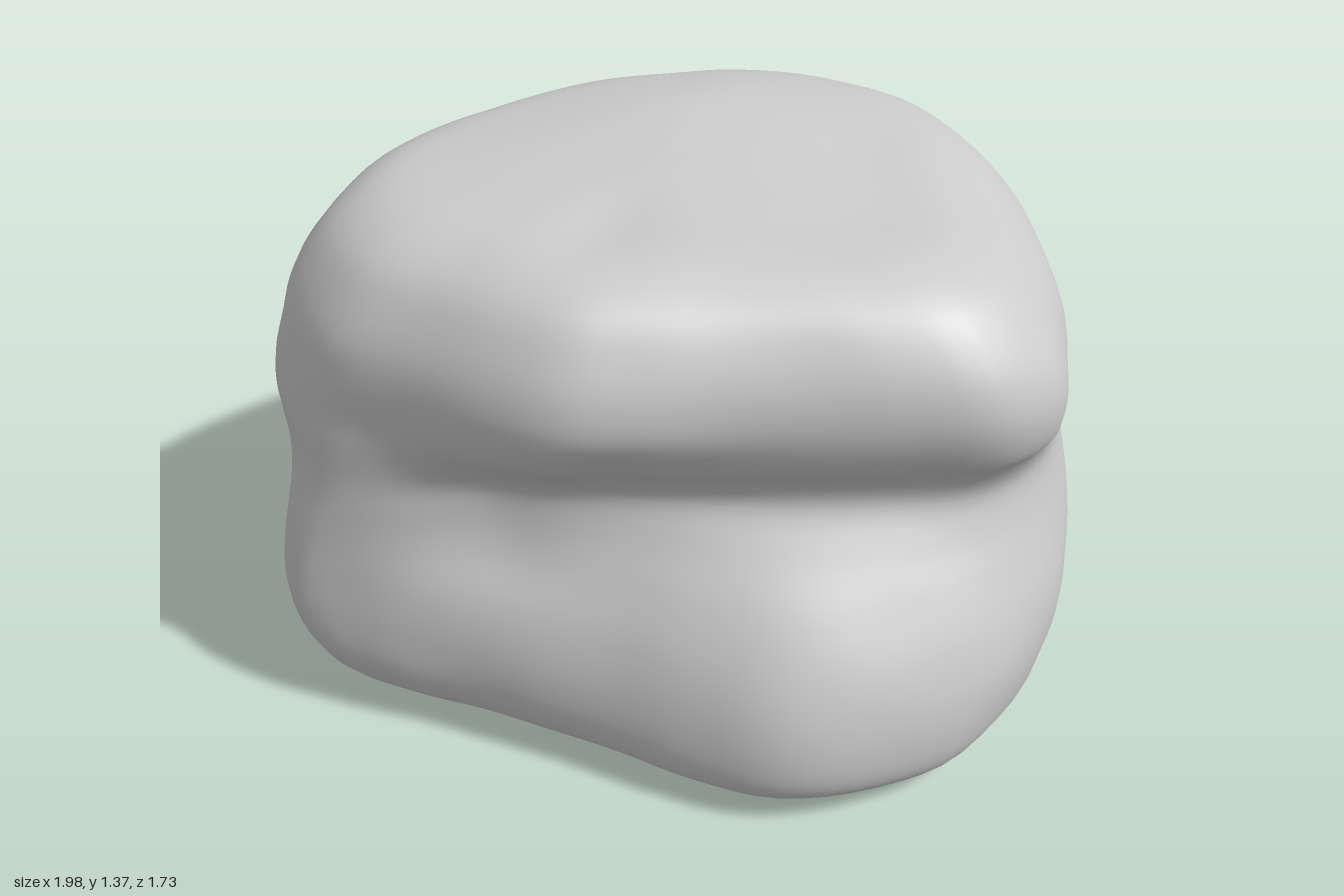
import * as THREE from 'three';

const { lerp, smoothstep, clamp } = THREE.MathUtils;

// Plan outlines [x, z], clockwise from the -x side: wide base and squarer top
const back = [[-0.25, -0.76], [0, -0.82], [0.2, -0.86], [0.42, -0.83], [0.62, -0.74],
  [0.79, -0.62], [0.91, -0.42], [0.97, -0.18], [0.98, 0.06]];
const baseOutline = [[-0.96, -0.06], [-0.91, -0.26], [-0.81, -0.43], [-0.65, -0.53], [-0.45, -0.65], ...back,
  [0.94, 0.36], [0.82, 0.6], [0.64, 0.77], [0.42, 0.85], [0.2, 0.86], [0, 0.79],
  [-0.18, 0.7], [-0.4, 0.61], [-0.6, 0.53], [-0.8, 0.46], [-0.96, 0.38], [-1, 0.18]];
const topOutline = [[-0.95, -0.06], [-0.87, -0.23], [-0.75, -0.39], [-0.6, -0.52], [-0.43, -0.65], ...back,
  [0.95, 0.36], [0.88, 0.58], [0.74, 0.69], [0.52, 0.71], [0.3, 0.71], [0.08, 0.71],
  [-0.12, 0.72], [-0.3, 0.72], [-0.47, 0.65], [-0.64, 0.54], [-0.86, 0.41], [-0.98, 0.17]];

// Heights with reach: [y, front, back, +x side, -x side]
const levels = [
  [0.03, 0.77, 0.58, 0.87, 0.74], [0.05, 0.82, 0.68, 0.9, 0.82], [0.1, 0.85, 0.76, 0.93, 0.89],
  [0.18, 0.86, 0.815, 0.955, 0.95], [0.3, 0.845, 0.855, 0.98, 0.99], [0.42, 0.8, 0.85, 0.985, 0.99],
  [0.54, 0.725, 0.83, 0.975, 0.965], [0.64, 0.64, 0.82, 0.955, 0.955], [0.73, 0.585, 0.82, 0.935, 0.965],
  [0.81, 0.61, 0.815, 0.92, 0.985], [0.89, 0.68, 0.81, 0.915, 0.985], [1.0, 0.725, 0.805, 0.905, 0.955],
  [1.1, 0.725, 0.785, 0.87, 0.925], [1.19, 0.69, 0.74, 0.805, 0.87], [1.265, 0.635, 0.665, 0.725, 0.8],
  [1.32, 0.53, 0.54, 0.61, 0.7], [1.345, 0.36, 0.4, 0.43, 0.52], [1.36, 0.18, 0.22, 0.23, 0.28]];

const AROUND = 96, RINGS = 68;

function sampleOutline(points) {
  const curve = new THREE.CatmullRomCurve3(points.map(([x, z]) => new THREE.Vector3(x, 0, z)), true);
  return Array.from({ length: AROUND }, (_, j) => curve.getPoint(j / AROUND));
}

const bump = (u, v, cu, cv, ru, rv) => Math.exp(-(((u - cu) / ru) ** 2) - ((v - cv) / rv) ** 2);

// Uneven lumps from a few crossed waves
const lumps = (x, y, z) =>
  Math.sin(5.1 * x + 2.3 * y + 1.1) * Math.sin(2.6 * y - 4.7 * z) * 0.003 +
  Math.sin(11 * x - 6 * z + 0.5) * Math.sin(5 * y + 9 * z + 2) * 0.004 +
  Math.sin(17 * x + 6 * y) * Math.sin(15 * z - 8 * y + 1) * 0.002;

function shapePoint(base, top, [y, front, rear, right, left]) {
  const rise = smoothstep(y, 0.5, 0.9);
  const p = base.clone().lerp(top, rise);
  const x = p.x * (p.x > 0 ? right / 0.98 : left);
  let reach = front / lerp(0.86, 0.72, rise);
  // Front groove fades out towards the -x side
  if (y > 0.3 && y < 1.05) reach = lerp(reach, Math.max(reach, 0.97), smoothstep(-x, 0.4, 0.8));
  let z = p.z * (p.z > 0 ? reach : rear / 0.86);
  // Deeper stretch of the groove and a small pit below it
  if (p.z > 0.3) z -= 0.025 * bump(x, y, -0.2, 0.88, 0.25, 0.06) + 0.025 * bump(x, y, -0.35, 0.58, 0.14, 0.04);
  // Underside dips towards the rear
  const dip = smoothstep(-z, -0.5, 0.5) * clamp((x + 0.8) / 1.4, 0, 1);
  let h = y + Math.max(0, 1 - y / 0.5) * (0.025 - 0.055 * dip);
  // Top is highest near the middle, with shallow hollows
  if (y > 1.2) h += 0.015 * bump(x, z, 0, -0.15, 0.3, 0.3) - 0.03 * bump(x, z, 0.45, 0.12, 0.3, 0.35) - 0.02 * bump(x, z, -0.18, 0.4, 0.12, 0.12);
  return new THREE.Vector3(x, h, z);
}

function rockGeometry() {
  const low = sampleOutline(baseOutline), high = sampleOutline(topOutline);
  const peak = new THREE.Vector3(0, 1.375, -0.05);
  const columns = low.map((p, j) =>
    new THREE.CatmullRomCurve3([...levels.map((level) => shapePoint(p, high[j], level)), peak]));

  const positions = [], index = [];
  for (let i = 0; i < RINGS; i++) {
    for (let j = 0; j < AROUND; j++) {
      const p = columns[j].getPoint(i / RINGS);
      const s = 1 + lumps(p.x, p.y, p.z);
      positions.push(p.x * s, Math.max(0, p.y + 0.6 * lumps(p.z, p.x, p.y) * Math.min(1, p.y * 3)), p.z * s);
      const k = (j + 1) % AROUND, a = i * AROUND + j, b = i * AROUND + k;
      if (i < RINGS - 1) index.push(a, a + AROUND, b, b, a + AROUND, b + AROUND);
      else index.push(a, RINGS * AROUND, b);
    }
  }
  positions.push(peak.x, peak.y, peak.z);
  const geometry = new THREE.BufferGeometry();
  geometry.setAttribute('position', new THREE.Float32BufferAttribute(positions, 3));
  geometry.setIndex(index);
  geometry.computeVertexNormals();
  return geometry;
}

export function createModel() {
  const group = new THREE.Group();
  group.name = 'boulder';
  // Hollow shell, open underneath
  const material = new THREE.MeshStandardMaterial({ color: 0xcccccc, side: THREE.DoubleSide });
  const rock = new THREE.Mesh(rockGeometry(), material);
  rock.name = 'rockShell';
  group.add(rock);
  return group;
}
